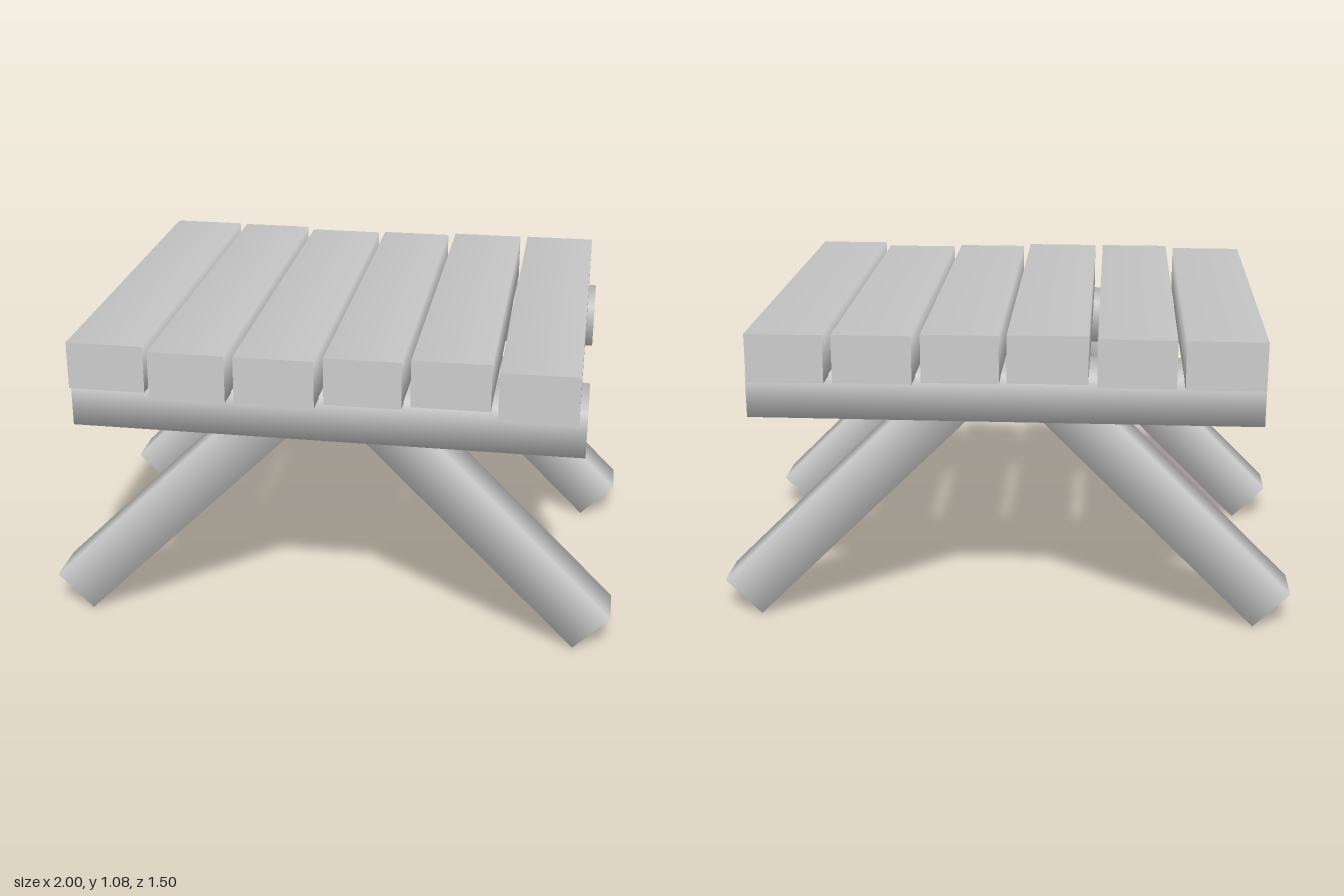
import * as THREE from 'three';

const material = new THREE.MeshStandardMaterial({ color: 0xcccccc });

// Square timber along y: softly shaded sides, crisp end cuts
function timber(name, width, length, depth) {
  const geometry = new THREE.CylinderGeometry(Math.SQRT1_2, Math.SQRT1_2, 1, 4, 1, false, Math.PI / 4);
  geometry.scale(width, length, depth);
  const mesh = new THREE.Mesh(geometry, material);
  mesh.name = name;
  return mesh;
}

export function createModel() {
  const table = new THREE.Group();
  table.name = 'plankTable';

  // Table top: planks of slightly uneven length [x0, x1, z0, z1]
  const planks = [
    [-0.867, -0.603, -0.755, 0.705],
    [-0.575, -0.315, -0.75, 0.747],
    [-0.285, -0.015, -0.718, 0.747],
    [0.01, 0.27, -0.728, 0.71],
    [0.297, 0.562, -0.75, 0.684],
    [0.59, 0.85, -0.755, 0.747],
  ];
  const top = new THREE.Group();
  top.name = 'tableTop';
  planks.forEach(([x0, x1, z0, z1], i) => {
    const plank = timber(`plank${i + 1}`, x1 - x0, z1 - z0, 0.165);
    plank.rotation.x = Math.PI / 2;
    plank.position.set((x0 + x1) / 2, 0.994, (z0 + z1) / 2);
    top.add(plank);
  });
  table.add(top);

  // Two trestles: a cross beam with a pair of splayed legs
  for (const [side, z] of [['front', 0.527], ['back', -0.524]]) {
    const beam = timber(`${side}Beam`, 0.16, 1.754, 0.265);
    beam.rotation.z = Math.PI / 2;
    beam.position.set(0, 0.837, z);
    table.add(beam);

    // Legs lean 45 degrees inward and end inside the beam
    const rise = 0.77;
    for (const s of [1, -1]) {
      const leg = timber(`${side}${s > 0 ? 'Left' : 'Right'}Leg`, 0.178, rise * Math.SQRT2, 0.17);
      leg.rotation.z = s * Math.PI / 4;
      leg.position.set(s * (0.937 - rise / 2), 0.063 + rise / 2, z);
      table.add(leg);
    }
  }
  return table;
}
